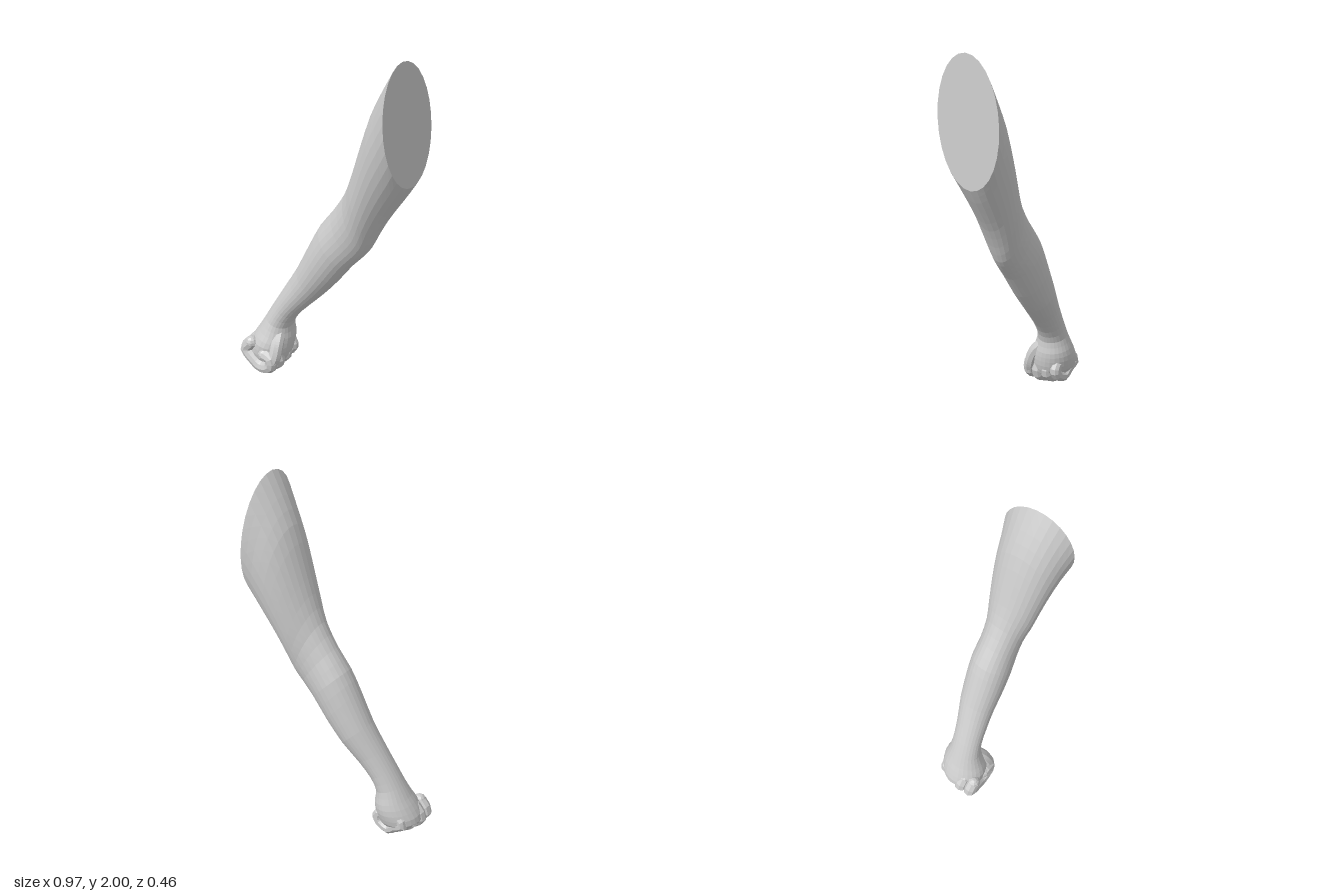
import * as THREE from 'three';

const skin = new THREE.MeshStandardMaterial({ color: 0xcccccc, flatShading: true });
const SIDES = 28;

// Arm sections: upper edge x,y | lower edge x,y | back z, front z
const sections = [
  [0.44, 2.0, 0.485, 1.34, -0.232, 0.176],
  [0.37, 1.88, 0.445, 1.27, -0.215, 0.155],
  [0.3, 1.74, 0.395, 1.19, -0.2, 0.138],
  [0.235, 1.55, 0.34, 1.1, -0.18, 0.122],
  [0.18, 1.38, 0.29, 1.0, -0.158, 0.108],
  [0.12, 1.23, 0.25, 0.91, -0.135, 0.09],
  [0.04, 1.1, 0.21, 0.855, -0.125, 0.092],
  [-0.04, 0.99, 0.15, 0.785, -0.125, 0.105],
  [-0.1, 0.87, 0.06, 0.66, -0.115, 0.11],
  [-0.18, 0.7, -0.03, 0.55, -0.095, 0.11],
  [-0.26, 0.55, -0.12, 0.45, -0.06, 0.12],
  [-0.32, 0.44, -0.19, 0.365, -0.04, 0.132],
  [-0.37, 0.345, -0.224, 0.29, -0.035, 0.15],
  [-0.41, 0.27, -0.215, 0.225, -0.05, 0.18],
  [-0.45, 0.2, -0.215, 0.17, -0.054, 0.208],
  [-0.475, 0.13, -0.225, 0.11, -0.04, 0.21],
  [-0.44, 0.075, -0.25, 0.06, 0.0, 0.195],
  [-0.38, 0.04, -0.29, 0.035, 0.05, 0.16],
];

// Rings of points smoothly interpolated between the sections
function makeRings() {
  const curve = (i, j) => new THREE.CatmullRomCurve3(
    sections.map((s) => new THREE.Vector3(s[i], s[j], 0)), false, 'centripetal');
  const upper = curve(0, 1), lower = curve(2, 3), depth = curve(4, 5);
  const steps = (sections.length - 1) * 2;
  const rings = [];
  for (let i = 0; i <= steps; i++) {
    const t = i / steps;
    const a = upper.getPoint(t), b = lower.getPoint(t), d = depth.getPoint(t);
    const slant = 0.03 * Math.max(0, 1 - t * 2.5);
    const ring = [];
    for (let j = 0; j < SIDES; j++) {
      const angle = (j / SIDES) * Math.PI * 2;
      const c = Math.cos(angle), s = Math.sin(angle);
      const p = b.clone().lerp(a, (1 + c) / 2);
      p.z = (d.x + d.y) / 2 + s * (d.y - d.x) / 2 + slant * c;
      ring.push(p);
    }
    rings.push(ring);
  }
  return rings;
}

function geometryFrom(points, index) {
  const g = new THREE.BufferGeometry().setFromPoints(points);
  g.setIndex(index);
  g.computeVertexNormals();
  return g;
}

function skinRings(rings) {
  const index = [];
  for (let i = 0; i < rings.length - 1; i++) {
    for (let j = 0; j < SIDES; j++) {
      const k = (j + 1) % SIDES;
      const a = i * SIDES + j, d = i * SIDES + k;
      index.push(a, a + SIDES, d + SIDES, a, d + SIDES, d);
    }
  }
  return geometryFrom(rings.flat(), index);
}

function capRing(ring, flip) {
  const center = new THREE.Vector3();
  ring.forEach((p) => center.addScaledVector(p, 1 / SIDES));
  const index = [];
  for (let j = 0; j < SIDES; j++) {
    const k = (j + 1) % SIDES;
    index.push(SIDES, flip ? k : j, flip ? j : k);
  }
  return geometryFrom([...ring, center], index);
}

function addMesh(parent, name, geometry) {
  const mesh = new THREE.Mesh(geometry, skin);
  mesh.name = name;
  parent.add(mesh);
  return mesh;
}

// Rounded digit following a path
function addDigit(parent, name, path, radius) {
  const digit = new THREE.Group();
  digit.name = name;
  const points = path.map((p) => new THREE.Vector3(...p));
  const curve = new THREE.CatmullRomCurve3(points);
  addMesh(digit, name + 'Length', new THREE.TubeGeometry(curve, 16, radius, 9));
  [['Base', points[0]], ['Tip', points[points.length - 1]]].forEach(([end, p]) => {
    addMesh(digit, name + end, new THREE.SphereGeometry(radius, 9, 7)).position.copy(p);
  });
  parent.add(digit);
}

export function createModel() {
  const model = new THREE.Group();
  model.name = 'arm';

  // Upper arm, forearm and palm in one skin, with the flat cut at the shoulder
  const rings = makeRings();
  addMesh(model, 'armAndPalm', skinRings(rings));
  addMesh(model, 'shoulderCut', capRing(rings[0], false));
  addMesh(model, 'palmEnd', capRing(rings[rings.length - 1], true));

  // Four fingers curled into a fist, side by side from back to front
  const fist = new THREE.Group();
  fist.name = 'fist';
  const fingers = [
    ['littleFinger', 0.0, 0.033, 0.03, 0.03],
    ['ringFinger', 0.065, 0.036, 0.01, 0.012],
    ['middleFinger', 0.13, 0.038, 0, 0],
    ['indexFinger', 0.192, 0.038, 0.005, 0.005],
  ];
  for (const [name, z, r, dx, dy] of fingers) {
    addDigit(fist, name, [
      [-0.41 + dx, 0.18, z], [-0.45 + dx, 0.12 + dy * 0.5, z], [-0.4 + dx, 0.07 + dy, z],
      [-0.33, 0.038 + dy, z], [-0.262, 0.07 + dy, z], [-0.265, 0.12 + dy, z], [-0.31, 0.125 + dy, z],
    ], r);
  }

  // Thumb folded down the palm side
  addDigit(fist, 'thumb', [
    [-0.27, 0.26, 0.1], [-0.25, 0.2, 0.15], [-0.248, 0.13, 0.178], [-0.265, 0.08, 0.19],
  ], 0.038);
  model.add(fist);
  return model;
}
